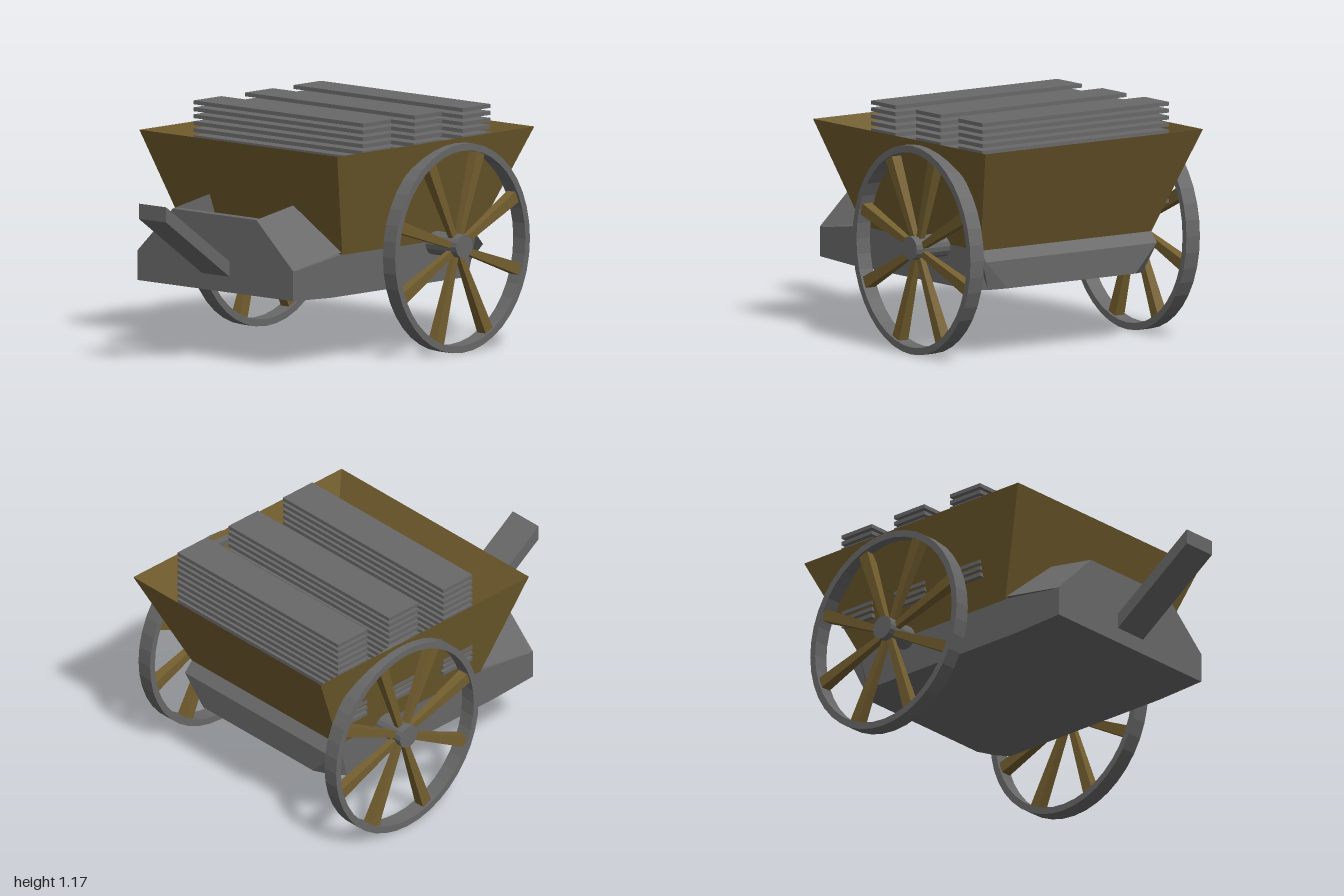
import * as THREE from 'three';

const grey = new THREE.MeshStandardMaterial({ color: 0x686868 });
grey.name = 'ironGrey';
const brown = new THREE.MeshStandardMaterial({ color: 0x745f2f, side: THREE.DoubleSide });
brown.name = 'woodBrown';
for (const m of [grey, brown]) m.flatShading = true;

function add(parent, name, geometry, material, x = 0, y = 0, z = 0) {
  const mesh = new THREE.Mesh(geometry, material);
  mesh.name = name;
  mesh.position.set(x, y, z);
  parent.add(mesh);
  return mesh;
}

// Skin a row of loops (counter-clockwise seen from the last one)
function loft(loops, capped = true) {
  const pos = [];
  const tri = (a, b, c) => pos.push(...a, ...b, ...c);
  const n = loops[0].length;
  for (let s = 0; s + 1 < loops.length; s++) {
    const a = loops[s], b = loops[s + 1];
    for (let i = 0; i < n; i++) {
      const j = (i + 1) % n;
      tri(a[i], a[j], b[j]);
      tri(a[i], b[j], b[i]);
    }
  }
  if (capped) {
    const a = loops[0], b = loops[loops.length - 1];
    for (let i = 1; i + 1 < n; i++) {
      tri(a[0], a[i + 1], a[i]);
      tri(b[0], b[i], b[i + 1]);
    }
  }
  const g = new THREE.BufferGeometry();
  g.setAttribute('position', new THREE.Float32BufferAttribute(pos, 3));
  g.computeVertexNormals();
  return g;
}

const X0 = -0.535, X1 = 0.505; // sides of the chassis
const AXLE_Y = 0.52, AXLE_Z = -0.45;

function makeWheel(name, x) {
  const wheel = new THREE.Group();
  wheel.name = name;
  // Rim: a slightly tall rectangular hoop
  const w = 0.041, outer = 0.479, inner = 0.447;
  const profile = [[inner, -w], [outer, -w], [outer, w], [inner, w], [inner, -w]]
    .map(([r, h]) => new THREE.Vector2(r, h));
  const rim = new THREE.LatheGeometry(profile, 40).rotateZ(Math.PI / 2).scale(1, 1.075, 1);
  add(wheel, 'rim', rim, grey);
  // Eight spokes that widen toward the rim
  for (let i = 0; i < 8; i++) {
    const a = THREE.MathUtils.degToRad(26.5 + i * 45);
    const spoke = new THREE.CylinderGeometry(0.04, 0.02, 0.43, 4)
      .rotateY(Math.PI / 4).translate(0, 0.245, 0)
      .rotateX(a - Math.PI / 2).scale(1, 1.05, 1);
    add(wheel, 'spoke', spoke, brown);
  }
  wheel.position.set(x, 0.515, AXLE_Z);
  return wheel;
}

export function createModel() {
  const cart = new THREE.Group();
  cart.name = 'handcart';

  // Chassis: sections of z, bottom, top and inset of the lower corners
  const chassis = [
    [-0.8, 0.34, 0.48, 0.13], [-0.75, 0.333, 0.535, 0.05], [-0.7, 0.33, 0.535, 0],
    [0.2, 0.33, 0.535, 0], [0.28, 0.33, 0.524, 0], [0.55, 0.342, 0.485, 0],
  ].map(([z, b, t, d]) => [[X0 + d, b, z], [X1 - d, b, z], [X1, t, z], [X0, t, z]]);
  add(cart, 'chassis', loft(chassis), grey);

  // Upright front board
  const board = [0.5, 0.55].map((z) => [
    [X0, 0.48, z], [X1, 0.48, z], [X1, 0.49, z],
    [0.26, 0.717, z], [-0.3, 0.717, z], [X0, 0.49, z],
  ]);
  add(cart, 'frontBoard', loft(board), grey);

  // Sloping cheeks that run back into the tub
  for (const [name, out, ridge] of [['leftCheek', X1, 0.26], ['rightCheek', X0, -0.3]]) {
    const loops = [[0.19, 0.06], [0.55, 0]].map(([z, rise]) => {
      const p = [[out, 0.488 + rise, z], [ridge, 0.718 + rise, z], [ridge, 0.486 + rise, z]];
      return out > 0 ? p : p.reverse();
    });
    add(cart, name, loft(loops), grey);
  }

  // Flared tub, open at the top
  const rect = (x0, x1, y, z0, z1) => [[x0, y, z1], [x1, y, z1], [x1, y, z0], [x0, y, z0]];
  add(cart, 'tub', loft([
    rect(X0, X1, 0.532, -0.755, 0.2),
    rect(-0.665, 0.66, 1.053, -1, 0.4),
  ], false), brown);

  // Three stacks of planks
  for (const z of [-0.01, -0.375, -0.718]) {
    for (let i = 0; i < 15; i++) {
      add(cart, 'plank', new THREE.BoxGeometry(1.135, 0.019, 0.197), grey,
        -0.028, 0.683 + i * 0.0342, z);
    }
  }

  // Slanted pull handle
  const handle = [[0.55, 0.42], [1, 0.735], [1, 0.81], [0.55, 0.495], [0.53, 0.47]];
  add(cart, 'handle', loft([-0.103, 0.08].map((x) =>
    handle.map(([z, y]) => [x, y, z]).reverse())), grey);

  // Axle with its ends showing as hubs
  const axle = new THREE.CylinderGeometry(0.059, 0.059, 1.42, 16).rotateZ(Math.PI / 2);
  add(cart, 'axle', axle, grey, 0, AXLE_Y + 0.005, AXLE_Z);

  cart.add(makeWheel('leftWheel', 0.657), makeWheel('rightWheel', -0.659));
  return cart;
}
